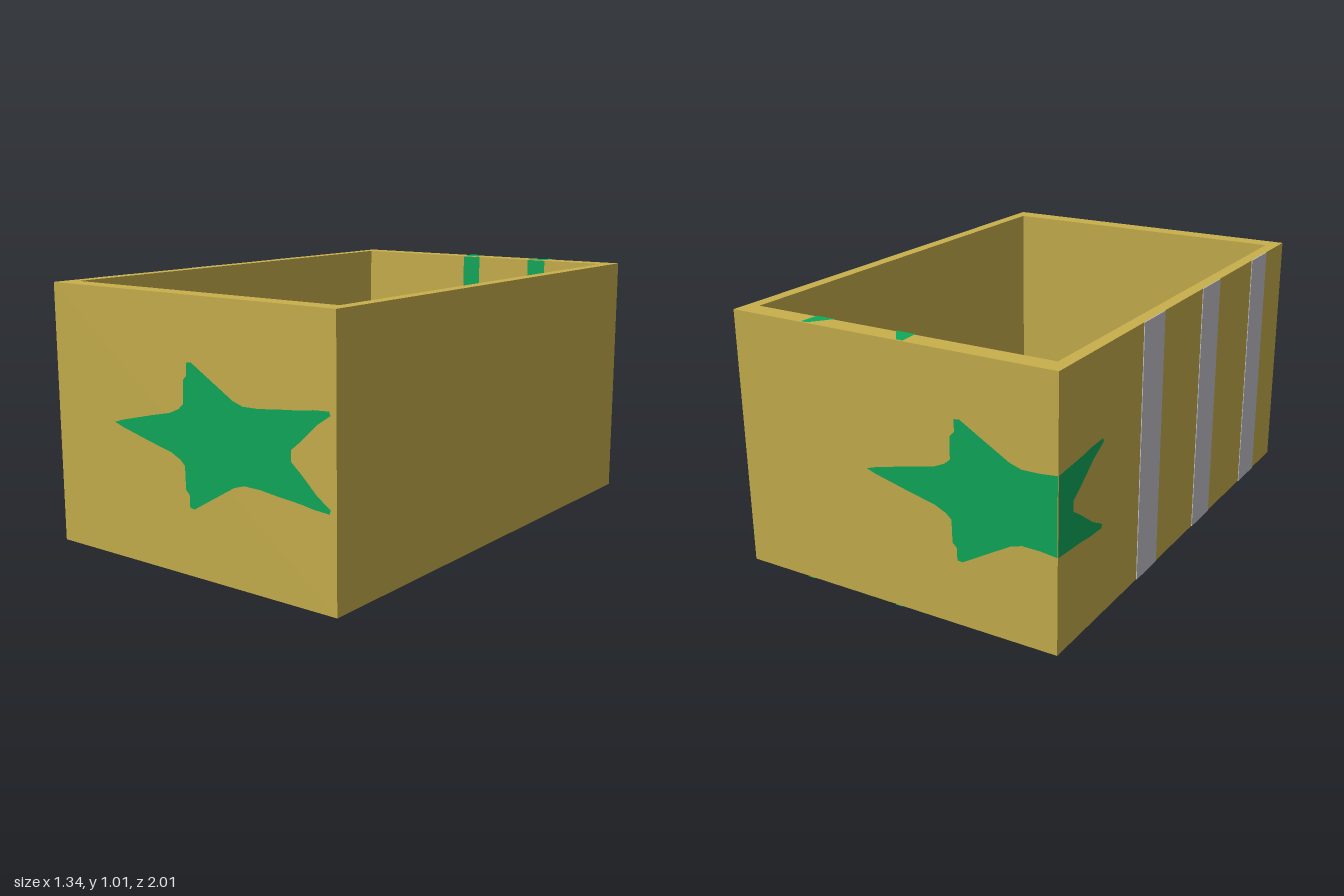
import * as THREE from 'three';

const W = 0.667, D = 1, H = 1;          // outer half width, half depth, height
const IW = 0.618, ID = 0.92, FLOOR = 0.07; // inner half width, half depth, floor top
const LIFT = 0.003;                      // painted faces sit just off the walls

const tan = new THREE.MeshStandardMaterial({ name: 'tan', color: 0xc8b04c });
const green = new THREE.MeshStandardMaterial({ name: 'green', color: 0x0faa5c, side: THREE.DoubleSide });
const grey = new THREE.MeshStandardMaterial({ name: 'grey', color: 0xc6c5cc });

// half outlines of the star: distance from its tip, half width
const SMALL_STAR = [[0, 0], [0.04, 0.013], [0.185, 0.048], [0.285, 0.07], [0.33, 0.09], [0.353, 0.11],
  [0.355, 0.195], [0.372, 0.212], [0.373, 0.258], [0.395, 0.26], [0.46, 0.222], [0.585, 0.15],
  [0.63, 0.136], [0.7, 0.137], [0.78, 0.146], [0.88, 0.155], [0.93, 0.163], [0.995, 0.167],
  [1.0, 0.153], [0.945, 0.116], [0.88, 0.055], [0.838, 0.02], [0.838, 0]];
const LARGE_STAR = [[0, 0], [0.05, 0.017], [0.13, 0.038], [0.264, 0.064], [0.394, 0.09], [0.464, 0.1],
  [0.509, 0.146], [0.514, 0.254], [0.54, 0.295], [0.552, 0.357], [0.575, 0.36], [0.69, 0.29],
  [0.75, 0.25], [0.928, 0.176], [1.05, 0.176], [1.164, 0.19], [1.337, 0.207], [1.464, 0.217],
  [1.464, 0.19], [1.374, 0.122], [1.28, 0.053], [1.246, 0.015], [1.246, 0]];

// keep the part of a polygon before (side = 1) or beyond (side = -1) distance s
function clip(points, s, side) {
  const out = [];
  points.forEach((a, i) => {
    const b = points[(i + 1) % points.length];
    const da = side * (s - a[0]), db = side * (s - b[0]);
    if (da >= 0) out.push(a);
    if (da * db < 0) out.push([s, a[1] + (b[1] - a[1]) * da / (da - db)]);
  });
  return out;
}

// flat painted face, mirrored about its long axis and placed by a mapping rule
function paint(name, half, place) {
  const group = new THREE.Group();
  group.name = name;
  for (const m of [1, -1]) {
    const shape = new THREE.Shape(half.map(([s, w]) => new THREE.Vector2(s, w * m)));
    const geo = new THREE.ShapeGeometry(shape);
    const pos = geo.attributes.position;
    for (let i = 0; i < pos.count; i++) pos.setXYZ(i, ...place(pos.getX(i), pos.getY(i)));
    geo.computeVertexNormals();
    const mesh = new THREE.Mesh(geo, green);
    mesh.name = name + 'Half';
    group.add(mesh);
  }
  return group;
}

function rectangle(target, w, d) {
  return target.moveTo(-w, -d).lineTo(w, -d).lineTo(w, d).lineTo(-w, d).closePath();
}

export function createModel() {
  const model = new THREE.Group();
  model.name = 'openBox';

  // four walls as one rectangular frame
  const frame = rectangle(new THREE.Shape(), W, D);
  frame.holes.push(rectangle(new THREE.Path(), IW, ID));
  const wallGeo = new THREE.ExtrudeGeometry(frame, { depth: H, bevelEnabled: false });
  const walls = new THREE.Mesh(wallGeo.rotateX(-Math.PI / 2), tan);
  walls.name = 'walls';
  const floor = new THREE.Mesh(new THREE.BoxGeometry(IW * 2, FLOOR, ID * 2), tan);
  floor.name = 'floor';
  floor.position.y = FLOOR / 2;
  model.add(walls, floor);

  // front star, and back star that wraps round onto the right-hand wall
  const mid = 0.51, edge = 0.763;
  model.add(
    paint('frontStar', SMALL_STAR, (s, w) => [s - 0.355, mid + w, D + LIFT]),
    paint('backStar', clip(SMALL_STAR, edge, 1), (s, w) => [0.096 - s, mid + w, -D - LIFT]),
    paint('backStarWrap', clip(SMALL_STAR, edge, -1),
      (s, w) => [-W - LIFT, mid + w, -D + (s - edge) * 1.28]));

  // large star on floor, rim, inner back wall and underside
  const tip = 0.464, axis = 0.137, bend = tip + ID;
  model.add(
    paint('floorStar', clip(LARGE_STAR, bend, 1), (s, w) => [axis + w, FLOOR + LIFT, tip - s]),
    paint('rimStar', clip(LARGE_STAR, bend, -1), (s, w) => [axis + w, H + LIFT, tip - s]),
    paint('innerWallStripe', [[FLOOR, 0.127], [H, 0.127], [H, 0.212], [FLOOR, 0.212]],
      (s, w) => [axis + w, s, -ID + LIFT]),
    paint('undersideStar', LARGE_STAR, (s, w) => [axis + 0.05 + w, -LIFT, tip - s]));

  // upright stripes on the right-hand wall
  for (const z of [-0.32, 0.193, 0.707]) {
    const stripe = new THREE.Mesh(new THREE.BoxGeometry(0.006, H, 0.168), grey);
    stripe.name = 'sideStripe';
    stripe.position.set(-W, H / 2, z);
    model.add(stripe);
  }
  return model;
}
